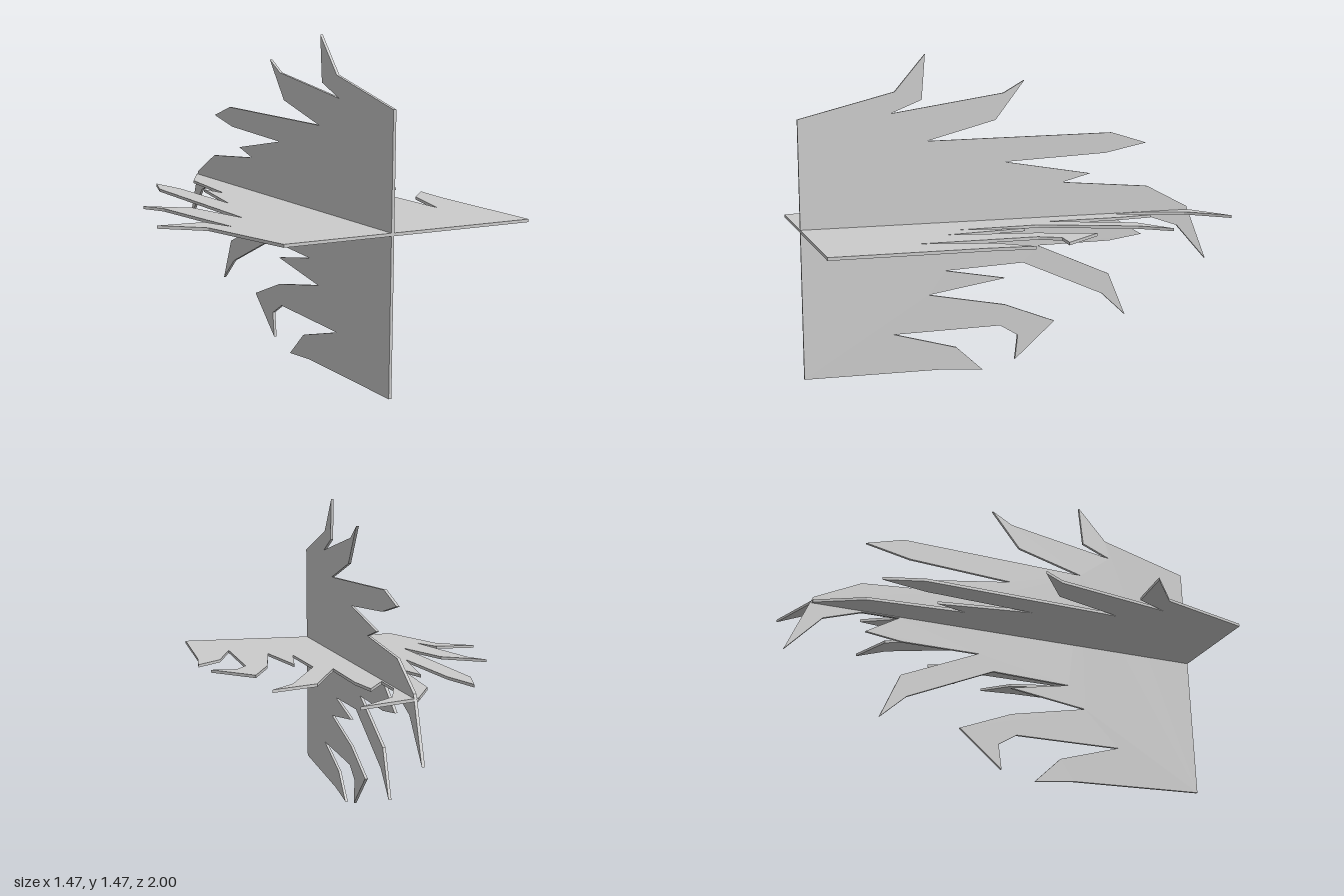
import * as THREE from 'three';

// Ragged tuft outline as [x, z] pairs: straight edge at the front, spikes to the back
const OUTLINE = [
  [-0.46, 1], [-0.574, 0.57], [-0.738, 0.43], [-0.537, 0.447], [-0.478, 0.59],
  [-0.563, 0.06], [-0.62, -0.04], [-0.44, 0.1], [-0.352, 0.426], [-0.368, -0.484],
  [-0.315, -0.664], [-0.272, -0.452], [-0.246, 0.055], [-0.177, -0.373], [-0.14, -0.23],
  [-0.104, -0.674], [0.005, -0.89], [0.272, -1], [0.098, -0.84], [0.038, -0.66],
  [0.038, -0.49], [0.13, -0.645], [0.153, -0.474], [0.155, -0.108], [0.315, -0.474],
  [0.523, -0.563], [0.412, -0.442], [0.232, -0.034], [0.246, 0.345], [0.3, 0.055],
  [0.354, 0.426], [0.428, 0.055], [0.526, -0.193], [0.696, 0.006], [0.58, -0.008],
  [0.526, 0.08], [0.526, 0.59], [0.613, 0.294], [0.733, 0.166], [0.712, 0.357], [0.696, 1],
];
const THICKNESS = 0.013;

export function createModel() {
  const model = new THREE.Group();
  const material = new THREE.MeshStandardMaterial({ color: 0xcccccc });

  // Thin plate lying flat, centred on its thickness
  const shape = new THREE.Shape(OUTLINE.map(([x, z]) => new THREE.Vector2(x, -z)));
  const plate = new THREE.ExtrudeGeometry(shape, { depth: THICKNESS, bevelEnabled: false });
  plate.translate(0, 0, -THICKNESS / 2).rotateX(-Math.PI / 2);

  // The same plate twice, crossed at right angles
  const horizontal = new THREE.Mesh(plate, material);
  horizontal.name = 'horizontalPlate';
  horizontal.position.y = 0.707;

  const vertical = new THREE.Mesh(plate, material);
  vertical.name = 'verticalPlate';
  vertical.rotation.z = -Math.PI / 2;
  vertical.position.set(0.021, 0.735, 0);

  model.add(horizontal, vertical);
  return model;
}
